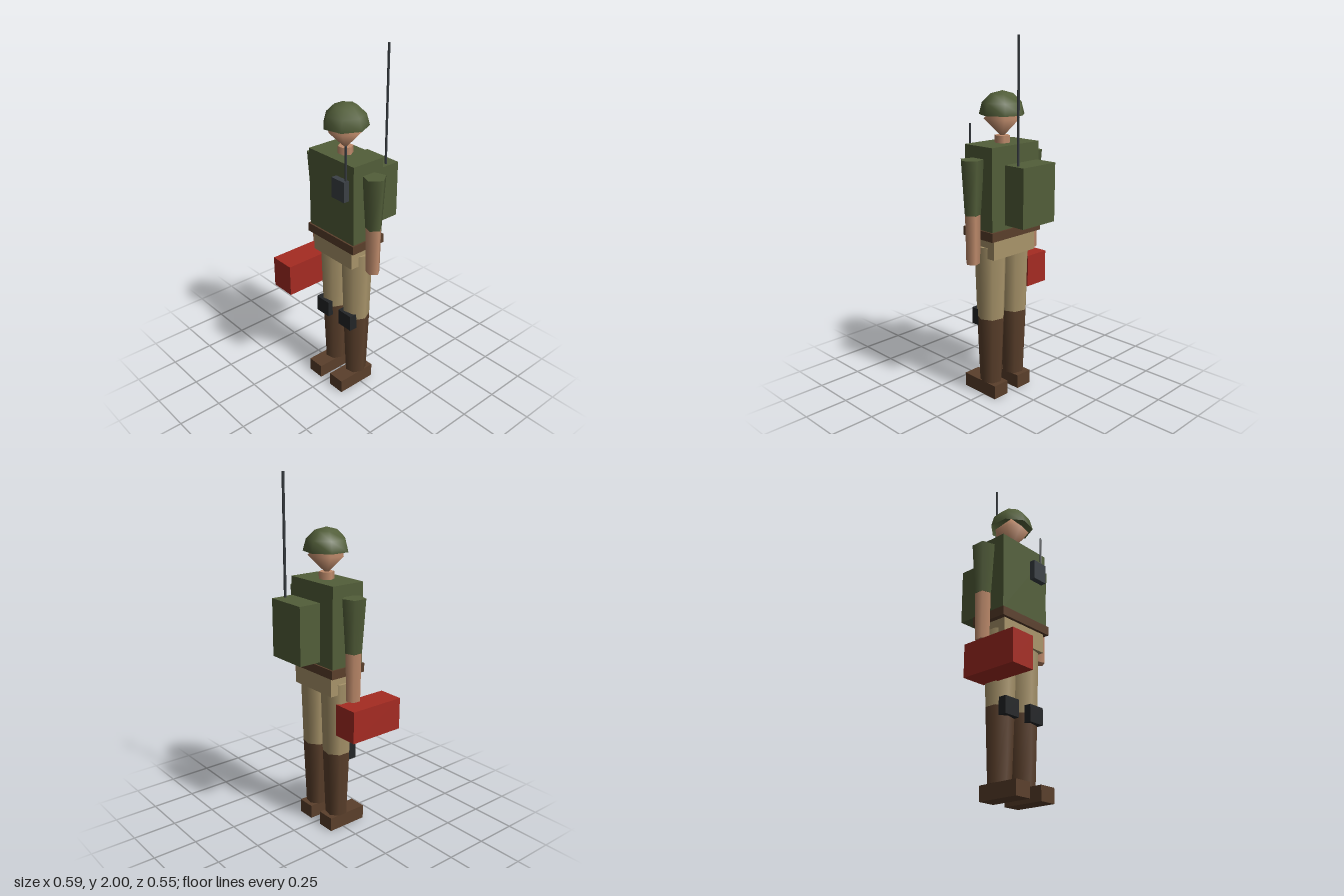
import * as THREE from 'three';

const mat = (name, color, side = THREE.FrontSide) => {
  const m = new THREE.MeshStandardMaterial({ color, side });
  m.name = name;
  return m;
};

export function createModel() {
  const olive = mat('olive', 0x525e39);
  const skin = mat('skin', 0xc08c6c);
  const khaki = mat('khaki', 0xa8946a);
  const brown = mat('brown', 0x5a3f2b);
  const red = mat('red', 0xa52b22);
  const slate = mat('slate', 0x3b4045);
  const black = mat('black', 0x232527);

  const model = new THREE.Group();
  const body = new THREE.Group(); // the body axis sits slightly off the model centre
  body.name = 'soldier';
  body.position.set(0.004, 0, -0.006);
  model.add(body);

  const add = (name, geometry, material, x, y, z) => {
    const mesh = new THREE.Mesh(geometry, material);
    mesh.name = name;
    mesh.position.set(x, y, z);
    body.add(mesh);
    return mesh;
  };
  // box centred at x, z between heights y0 and y1
  const box = (name, material, x, z, w, d, y0, y1) =>
    add(name, new THREE.BoxGeometry(w, y1 - y0, d), material, x, (y0 + y1) / 2, z);
  // tapered prism with one corner pointing to +x
  const limb = (name, material, x, z, rTop, rBottom, y0, y1, sides) =>
    add(name, new THREE.CylinderGeometry(rTop, rBottom, y1 - y0, sides).rotateY(Math.PI / 2),
      material, x, (y0 + y1) / 2, z);

  // torso
  box('hips', khaki, 0, 0, 0.315, 0.19, 0.83, 0.94);
  box('belt', brown, 0, 0, 0.374, 0.225, 0.94, 0.99);
  box('jacket', olive, 0, 0, 0.356, 0.205, 0.99, 1.44);

  // head and helmet
  limb('neck', skin, 0, 0, 0.042, 0.042, 1.43, 1.48, 6);
  add('head', new THREE.SphereGeometry(0.1, 7, 2).rotateY(Math.PI), skin, 0, 1.567, 0);
  const shell = new THREE.SphereGeometry(0.126, 7, 3, 0, Math.PI * 2, 0, Math.PI / 2).rotateY(Math.PI);
  add('helmet', shell, mat('helmet olive', 0x525e39, THREE.DoubleSide), 0, 1.59, 0);

  // arms and legs
  for (const [side, s] of [['left', 1], ['right', -1]]) {
    limb(side + 'Sleeve', olive, s * 0.225, 0, 0.065, 0.046, 1.08, 1.375, 5);
    limb(side + 'Forearm', skin, s * 0.225, 0, 0.044, 0.04, 0.81, 1.08, 5);

    limb(side + 'TrouserLeg', khaki, s * 0.09, 0, 0.09, 0.078, 0.47, 0.89, 7);
    limb(side + 'Boot', brown, s * 0.09, 0, 0.078, 0.063, 0.08, 0.47, 7);
    box(side + 'Shoe', brown, s * 0.093, 0.038, 0.102, 0.242, 0, 0.08);
    box(side + 'KneePad', black, s * 0.095, 0.069, 0.102, 0.048, 0.415, 0.51);
  }

  // chest radio with its short aerial
  box('chestRadio', slate, 0.093, 0.117, 0.097, 0.038, 1.24, 1.355);
  limb('chestRadioAerial', slate, 0.131, 0.113, 0.007, 0.007, 1.355, 1.545, 3);

  // backpack with its long aerial
  box('backpack', olive, 0, -0.206, 0.244, 0.13, 1.03, 1.35);
  limb('backpackAerial', slate, 0.093, -0.206, 0.009, 0.009, 1.35, 2, 4);

  // carried case
  box('carriedCase', red, -0.2255, 0.1125, 0.149, 0.337, 0.595, 0.778);

  return model;
}
